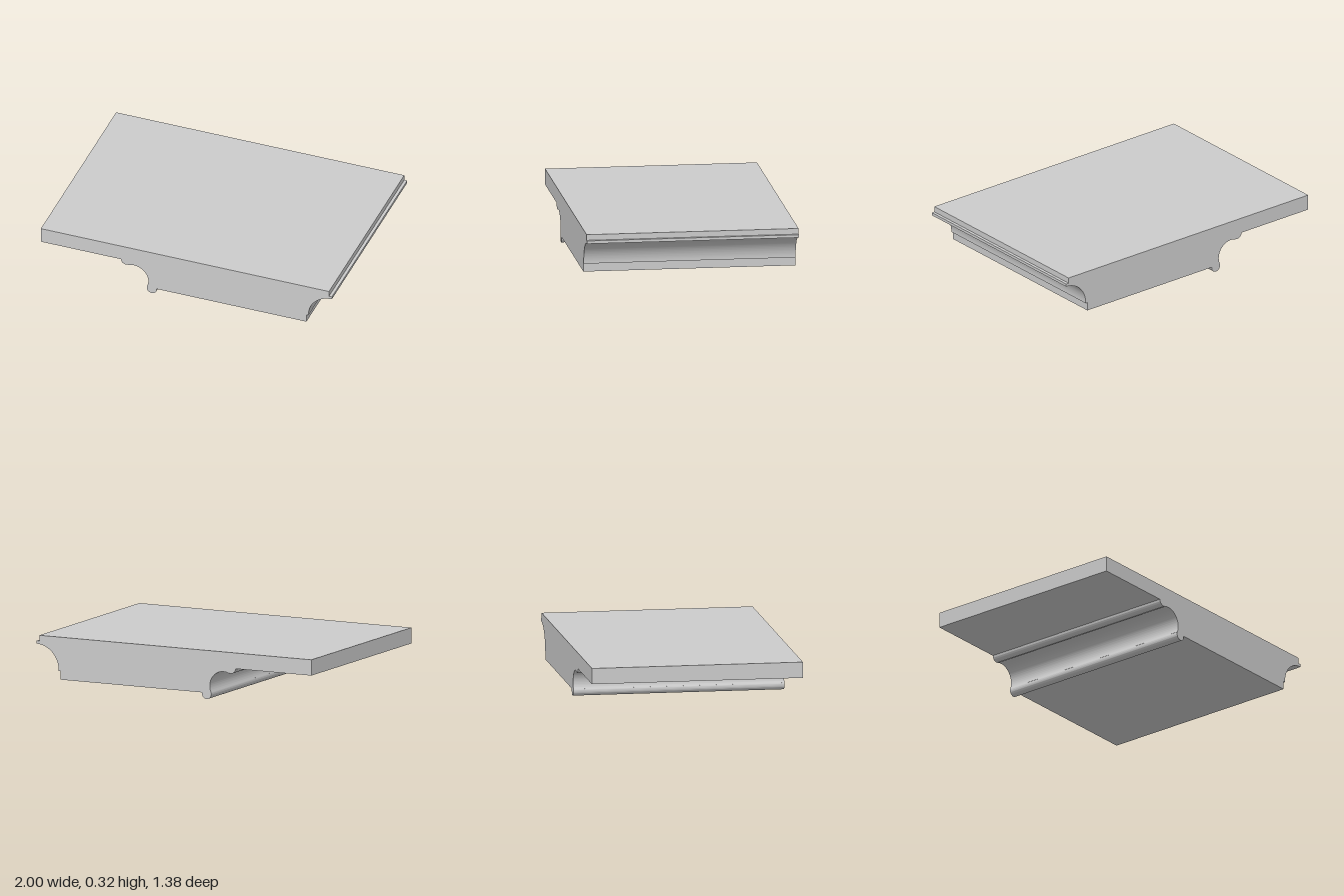
import * as THREE from 'three';
import { toCreasedNormals } from 'three/addons/utils/BufferGeometryUtils.js';

const DEPTH = 1.376;

// Cross-section of the moulded slab, traced clockwise from the top left
function createProfile() {
  const bead = new THREE.Vector2(-0.238, 0.034);      // lower bead
  const hollow = new THREE.Vector2(-0.361, 0.088);    // scooped cove
  const smallBead = new THREE.Vector2(-0.415, 0.214); // upper bead
  const beadR = 0.034, hollowR = 0.1;
  const a1 = hollow.clone().sub(bead).angle();
  const a2 = smallBead.clone().sub(hollow).angle();

  const s = new THREE.Shape();
  s.moveTo(-1, 0.317);
  s.lineTo(0.98, 0.317);
  // stepped lip
  s.lineTo(0.98, 0.28);
  s.lineTo(1, 0.28);
  s.lineTo(1, 0.262);
  // quarter-round cove and fillet on the edge
  s.absarc(1, 0.1, 0.161, Math.PI / 2, Math.PI, false);
  s.lineTo(0.839, 0.095);
  s.lineTo(0.825, 0.095);
  s.lineTo(0.825, 0.04);
  // underside, then bead, hollow and small bead
  s.lineTo(bead.x + beadR, 0.04);
  s.absarc(bead.x, bead.y, beadR, 0, a1, true);
  s.absarc(hollow.x, hollow.y, hollowR, a1 - Math.PI, a2, false);
  s.absarc(smallBead.x, smallBead.y, beadR, a2 - Math.PI, -Math.PI, true);
  s.lineTo(-1, 0.214);
  s.closePath();
  return s;
}

export function createModel() {
  const group = new THREE.Group();
  group.name = 'mouldedSlab';
  const geometry = new THREE.ExtrudeGeometry(createProfile(), {
    depth: DEPTH, bevelEnabled: false, curveSegments: 32,
  });
  geometry.translate(0, 0, -DEPTH / 2);
  const slab = new THREE.Mesh(
    toCreasedNormals(geometry, 0.5),
    new THREE.MeshStandardMaterial({ color: 0xcccccc }),
  );
  slab.name = 'moulding';
  group.add(slab);
  return group;
}
